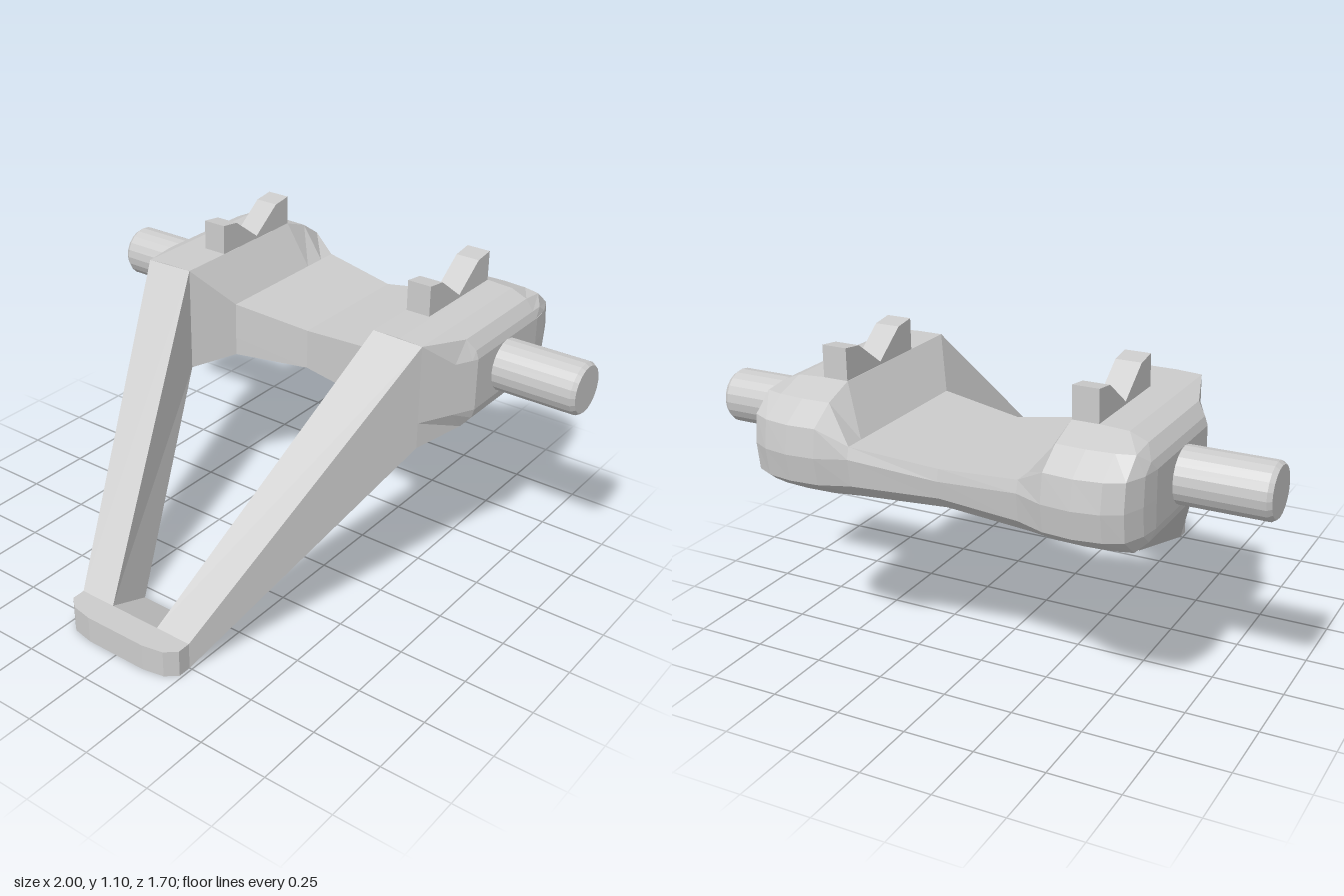
import * as THREE from 'three';

const material = new THREE.MeshStandardMaterial({ color: 0xcccccc, flatShading: true });

function add(parent, geometry, name) {
  const mesh = new THREE.Mesh(geometry, material);
  mesh.name = name;
  parent.add(mesh);
  return mesh;
}

// Skin a row of closed loops; loops run clockwise seen from the far end.
function loft(loops) {
  const n = loops[0].length, last = (loops.length - 1) * n, index = [];
  for (let i = 0; i < loops.length - 1; i++) {
    for (let j = 0; j < n; j++) {
      const a = i * n + j, an = i * n + (j + 1) % n;
      index.push(a, a + n, an, an, a + n, an + n);
    }
  }
  for (let j = 1; j < n - 1; j++) {
    index.push(0, j, j + 1, last, last + j + 1, last + j);
  }
  const g = new THREE.BufferGeometry();
  g.setAttribute('position', new THREE.Float32BufferAttribute(loops.flat(2), 3));
  g.setIndex(index);
  const flat = g.toNonIndexed();
  flat.computeVertexNormals();
  return flat;
}

// Rounded rear outline as [z, y], from top to underside
const REAR = [[-0.63, 0.99], [-0.74, 0.95], [-0.83, 0.89], [-0.845, 0.795],
  [-0.83, 0.7], [-0.74, 0.64], [-0.63, 0.6]];

// Half-body stations: x, front z at edges, front z at middle, rear bulge, top y, bottom y
const STATIONS = [
  [0, -0.22, -0.22, 0.58, 0.8, 0.65],
  [0.3, -0.18, -0.18, 0.79, 0.835, 0.63],
  [0.4, -0.04, -0.04, 0.98, 0.99, 0.6],
  [0.5, -0.04, -0.04, 1.02, 0.99, 0.6],
  [0.59, -0.04, -0.04, 0.95, 0.985, 0.605],
  [0.65, -0.22, -0.16, 0.8, 0.96, 0.63],
  [0.68, -0.24, -0.22, 0.45, 0.92, 0.665],
  [0.69, -0.24, -0.24, 0.1, 0.89, 0.7],
];

function bodyLoop([x, zEdge, zMid, bulge, top, bottom]) {
  const rear = REAR.map(([z, y], i) => [
    x,
    Math.max(bottom, Math.min(y, i === 3 ? top - 0.04 : top)),
    -0.63 + (z + 0.63) * bulge,
  ]);
  return [[x, top, zEdge], ...rear, [x, bottom, zEdge],
    [x, 0.7, zMid], [x, Math.min(0.89, top), zMid]];
}

// Sloping leg from the body down to the toe
function legGeometry(side) {
  const loops = [
    [[0.4, 0.99, -0.04], [0.59, 0.985, -0.04], [0.59, 0.605, -0.04], [0.4, 0.6, -0.04]],
    [[0.1, 0.1, 0.75], [0.24, 0.1, 0.75], [0.24, 0, 0.75], [0.14, 0, 0.55]],
  ].map((loop) => {
    const l = loop.map(([x, y, z]) => [x * side, y, z]);
    return side < 0 ? l.reverse() : l;
  });
  return loft(loops);
}

// Toe outline at height y, with its rear edge given
function toeLoop(y, rearX, rearZ) {
  const half = [[rearX, rearZ], [0.24, 0.75], [0.24, 0.8], [0.2, 0.835], [0.12, 0.85]];
  const right = half.map(([x, z]) => [x, y, z]);
  const left = half.map(([x, z]) => [-x, y, z]).reverse();
  return [...right, ...left];
}

// Notched rest, drawn with z along the shape's x
function restGeometry() {
  const shape = new THREE.Shape([
    [-0.63, 0.95], [-0.24, 0.95], [-0.24, 1.1], [-0.315, 1.09],
    [-0.435, 1.0], [-0.555, 1.09], [-0.63, 1.1],
  ].map(([z, y]) => new THREE.Vector2(z, y)));
  const g = new THREE.ExtrudeGeometry(shape, { depth: 0.09, bevelEnabled: false });
  g.translate(0, 0, -0.045);
  g.rotateY(-Math.PI / 2);
  return g;
}

export function createModel() {
  const group = new THREE.Group();
  group.name = 'forkedBracket';

  // Waisted body with two rounded lobes
  const mirrored = STATIONS.slice(1).reverse().map(([x, ...rest]) => [-x, ...rest]);
  add(group, loft([...mirrored, ...STATIONS].map(bodyLoop)), 'body');

  // Toe joining both legs
  add(group, loft([toeLoop(0, 0.14, 0.55), toeLoop(0.1, 0.1, 0.75)]), 'toe');

  const pinProfile = [[0, 0.6], [0.095, 0.6], [0.095, 0.985], [0.085, 1], [0, 1]]
    .map(([r, y]) => new THREE.Vector2(r, y));

  for (const side of [-1, 1]) {
    const label = side > 0 ? 'left' : 'right';
    add(group, legGeometry(side), label + 'Leg');

    // Side pin
    const pin = add(group, new THREE.LatheGeometry(pinProfile, 20), label + 'Pin');
    pin.rotation.z = -side * Math.PI / 2;
    pin.position.set(0, 0.795, -0.435);

    // Notched rest on top of the lobe
    add(group, restGeometry(), label + 'Rest').position.x = side * 0.446;
  }
  return group;
}
